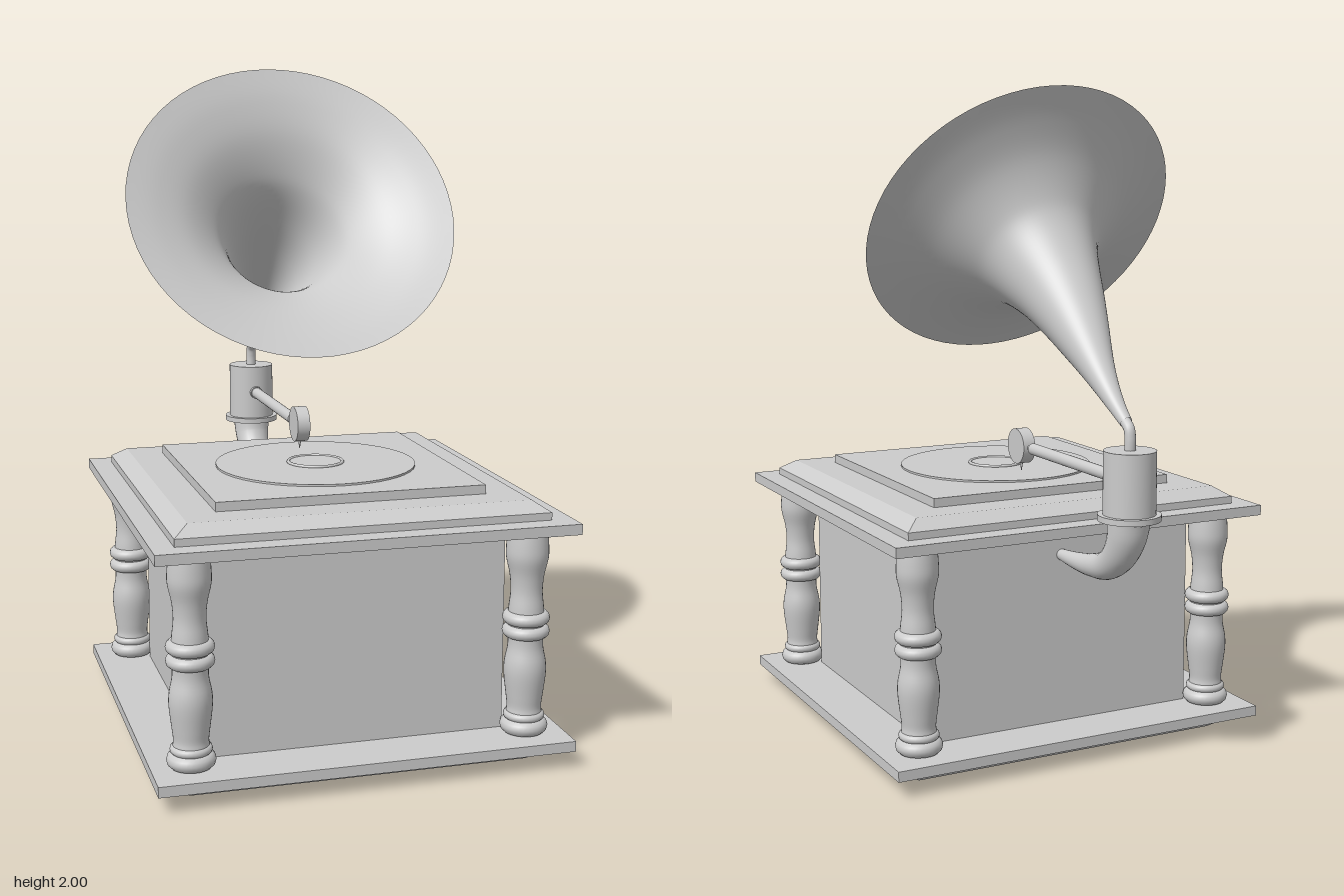
import * as THREE from 'three';

const CZ = 0.155; // centre of the cabinet in z
const ARM_Z = -0.68; // axis of the horn socket

export function createModel() {
  const model = new THREE.Group();
  const smooth = new THREE.MeshStandardMaterial({ color: 0xcccccc });
  const flat = new THREE.MeshStandardMaterial({ color: 0xcccccc, flatShading: true });
  const thin = new THREE.MeshStandardMaterial({ color: 0xcccccc, side: THREE.DoubleSide });

  const add = (name, geometry, x, y, z, material = smooth, parent = model) => {
    const mesh = new THREE.Mesh(geometry, material);
    mesh.name = name;
    mesh.position.set(x, y, z);
    parent.add(mesh);
    return mesh;
  };
  // Square block between two heights, with separate half widths below and above
  const block = (name, y0, y1, bottom, top = bottom) => {
    const g = new THREE.CylinderGeometry(top * Math.SQRT2, bottom * Math.SQRT2, y1 - y0, 4);
    g.rotateY(Math.PI / 4);
    return add(name, g, 0, (y0 + y1) / 2, CZ, flat);
  };
  const disc = (name, r, y0, y1, z) =>
    add(name, new THREE.CylinderGeometry(r, r, y1 - y0, 48), 0, (y0 + y1) / 2, z);
  // Smooth curve through [radius, height] pairs
  const spline = (pts, n) =>
    new THREE.SplineCurve(pts.map(([r, y]) => new THREE.Vector2(r, y))).getPoints(n);
  const path = (pts) =>
    new THREE.CatmullRomCurve3(pts.map(([y, z]) => new THREE.Vector3(0, y, z)));

  // Cabinet
  block('plinthBevel', 0, 0.033, 0.5, 0.545);
  block('plinth', 0.033, 0.052, 0.545);
  block('bottomBoard', 0.052, 0.083, 0.61);
  block('cabinetBody', 0.083, 0.697, 0.445);
  block('topBoard', 0.697, 0.728, 0.61);
  block('lidMoulding', 0.728, 0.75, 0.545);
  block('lidBevel', 0.75, 0.78, 0.545, 0.5);
  block('deck', 0.78, 0.807, 0.4);

  // Turned corner columns
  const shaft = new THREE.LatheGeometry(spline([
    [0.05, 0.083], [0.052, 0.14], [0.05, 0.165], [0.054, 0.2], [0.061, 0.26], [0.06, 0.3],
    [0.051, 0.35], [0.053, 0.41], [0.051, 0.46], [0.046, 0.51], [0.05, 0.56],
    [0.061, 0.61], [0.061, 0.65], [0.057, 0.697],
  ], 52), 32);
  const ring = (radius, tube) => new THREE.TorusGeometry(radius, tube, 12, 32).rotateX(Math.PI / 2);
  const bead = ring(0.05, 0.019);
  const foot = ring(0.047, 0.023);
  const collar = ring(0.047, 0.013);
  for (const sx of [-1, 1]) for (const sz of [-1, 1]) {
    const column = new THREE.Group();
    column.name = 'cornerColumn';
    column.position.set(sx * 0.495, 0, CZ + sz * 0.492);
    add('columnShaft', shaft, 0, 0, 0, smooth, column);
    add('columnFoot', foot, 0, 0.106, 0, smooth, column);
    add('columnCollar', collar, 0, 0.137, 0, smooth, column);
    for (const y of [0.392, 0.432]) add('columnBead', bead, 0, y, 0, smooth, column);
    model.add(column);
  }

  // Record with its raised centre ring
  disc('record', 0.305, 0.807, 0.813, CZ);
  disc('recordLabel', 0.085, 0.813, 0.816, CZ);
  add('labelRing', ring(0.083, 0.005), 0, 0.815, CZ);

  // Horn socket
  disc('socketFlange', 0.09, 0.79, 0.807, ARM_Z);
  disc('socket', 0.075, 0.807, 0.987, ARM_Z);

  // Elbow bracket: a tube whose radius tapers towards the cabinet
  const elbowPath = path([[0.795, ARM_Z], [0.74, -0.668], [0.68, -0.63], [0.635, -0.565],
    [0.615, -0.48], [0.607, -0.39], [0.605, -0.28]]);
  const rings = 36;
  const sides = 24;
  const elbow = new THREE.TubeGeometry(elbowPath, rings, 1, sides);
  const v = new THREE.Vector3();
  for (let i = 0; i <= rings; i++) {
    const centre = elbowPath.getPointAt(i / rings);
    const radius = THREE.MathUtils.lerp(0.062, 0.016, i / rings);
    for (let j = 0; j <= sides; j++) {
      const k = i * (sides + 1) + j;
      v.fromBufferAttribute(elbow.attributes.position, k).sub(centre).multiplyScalar(radius).add(centre);
      elbow.attributes.position.setXYZ(k, v.x, v.y, v.z);
    }
  }
  elbow.computeBoundingSphere();
  add('elbowBracket', elbow, 0, 0, 0, thin);

  // Curved neck from the socket into the horn
  const neckPath = path([[0.98, ARM_Z], [1.02, ARM_Z], [1.046, -0.674], [1.062, -0.655], [1.078, -0.63]]);
  add('hornNeck', new THREE.TubeGeometry(neckPath, 24, 0.016, 16), 0, 0, 0, thin);

  // Flared horn, leaning slightly to one side and tipped forward
  const horn = new THREE.LatheGeometry(spline([
    [0.018, 0], [0.024, 0.06], [0.037, 0.15], [0.054, 0.24], [0.081, 0.36], [0.104, 0.46],
    [0.137, 0.59], [0.177, 0.7], [0.225, 0.765], [0.31, 0.833], [0.41, 0.878], [0.506, 0.905],
  ], 60), 72);
  const p = horn.attributes.position;
  for (let i = 0; i < p.count; i++) {
    p.setX(i, p.getX(i) - 0.05 * THREE.MathUtils.smoothstep(p.getY(i), 0, 0.62));
  }
  horn.rotateX(0.956);
  add('horn', horn, 0, 1.062, -0.657, thin);

  // Tone arm, sound box and needle
  const rod = (name, r, z0, z1) => add(name,
    new THREE.CylinderGeometry(r, r, z1 - z0, 24).rotateX(Math.PI / 2), 0, 0.898, (z0 + z1) / 2);
  rod('toneArm', 0.018, -0.6, -0.105);
  rod('armCollar', 0.021, -0.615, -0.593);
  rod('armLink', 0.008, -0.11, -0.07);
  add('soundBox', new THREE.CylinderGeometry(0.055, 0.055, 0.04, 40).rotateZ(Math.PI / 2), 0, 0.897, -0.027);
  add('needle', new THREE.CylinderGeometry(0.006, 0.001, 0.03, 12), 0, 0.834, -0.027);

  return model;
}
